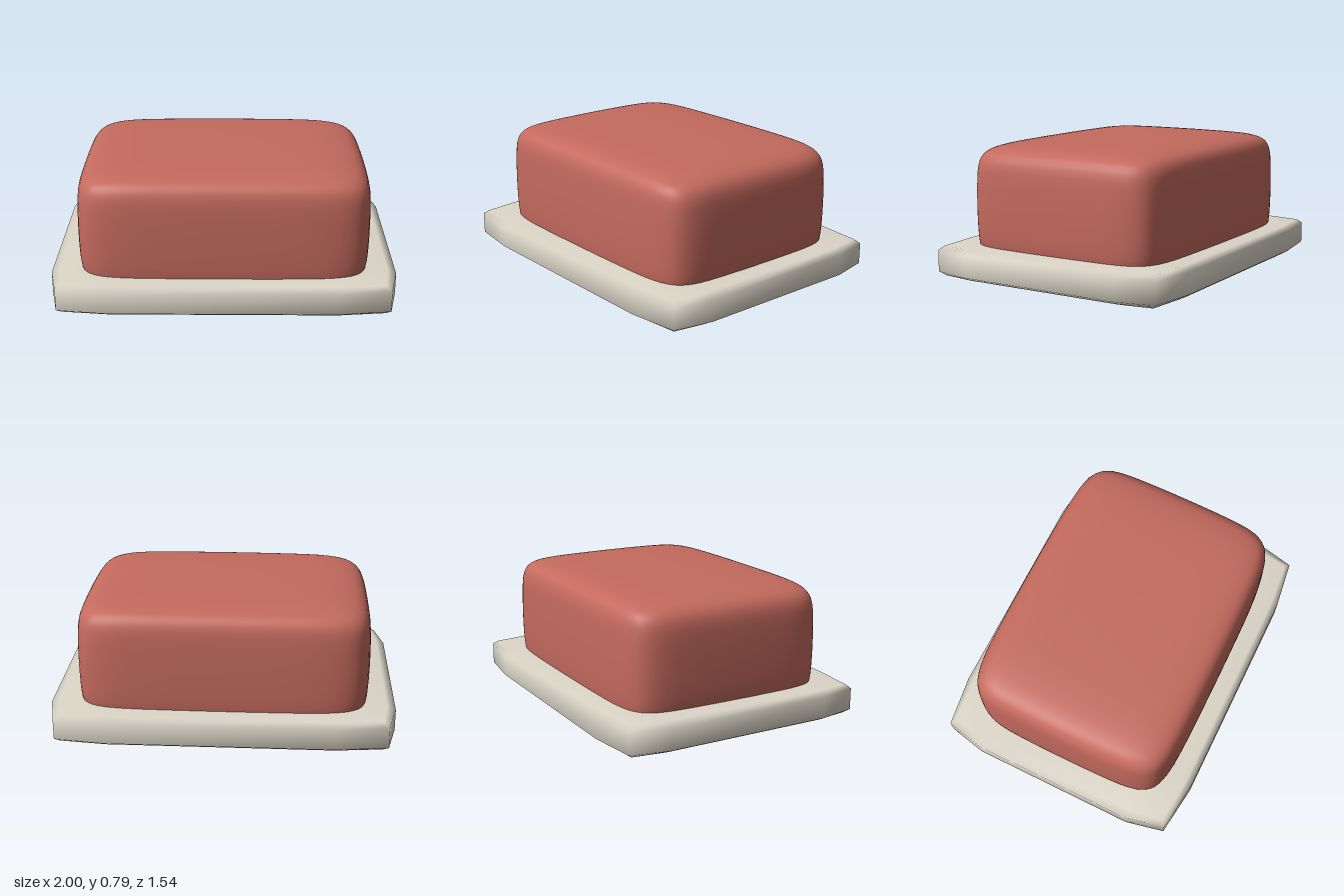
import * as THREE from 'three';
import { mergeVertices } from 'three/addons/utils/BufferGeometryUtils.js';

// Weld the corners and shade smoothly
function smooth(geometry) {
  geometry.deleteAttribute('uv');
  geometry.deleteAttribute('normal');
  const welded = mergeVertices(geometry, 1e-4);
  welded.computeVertexNormals();
  return welded;
}

// Soft box: a cube pushed onto a rounded superellipsoid with slightly bulging faces
function softBox(halfX, halfY, halfZ) {
  const power = 8, bulge = 0.024;
  const geometry = new THREE.BoxGeometry(2, 2, 2, 24, 24, 24);
  const pos = geometry.attributes.position;
  for (let i = 0; i < pos.count; i++) {
    const p = [pos.getX(i), pos.getY(i), pos.getZ(i)].map(t => Math.sin(t * Math.PI / 2));
    const r = Math.pow(p.reduce((sum, t) => sum + Math.abs(t) ** power, 0), 1 / power);
    const [x, y, z] = p.map(t => t / r);
    pos.setXYZ(i,
      halfX * x * (1 - bulge * (y * y + z * z) / 1.3),
      halfY * y * (1 - bulge * (x * x + z * z) / 1.3),
      halfZ * z * (1 - bulge * (x * x + y * y) / 1.3));
  }
  return smooth(geometry);
}

// Slab: twelve-point rings stacked from the bottom centre to the top centre.
// Each ring: [side x, side z, corner x, corner z, straight x, straight z, y]
function slab() {
  const rings = [
    [0, 0, 0, 0, 0, 0, 0.003],
    [0.65, 0.5, 0.65, 0.5, 0.65, 0.5, 0.01],
    [0.95, 0.73, 0.92, 0.7, 0.65, 0.5, 0.02],
    [1, 0.77, 0.95, 0.73, 0.65, 0.5, 0.045],
    [1, 0.77, 0.95, 0.73, 0.65, 0.5, 0.172],
    [0.95, 0.73, 0.92, 0.705, 0.65, 0.5, 0.195],
    [0.65, 0.5, 0.65, 0.5, 0.65, 0.5, 0.199],
    [0, 0, 0, 0, 0, 0, 0.2],
  ];
  const points = [], index = [], n = 12;
  for (const [sx, sz, cx, cz, fx, fz, y] of rings) {
    const quarter = [[sx, fz], [cx, cz], [fx, sz]];
    const half = [...quarter, ...quarter.map(([x, z]) => [-x, z]).reverse()];
    for (const [x, z] of [...half, ...half.map(([x, z]) => [-x, -z])]) points.push(x, y, z);
  }
  for (let i = 0; i < rings.length - 1; i++) {
    for (let j = 0; j < n; j++) {
      const a = i * n + j, b = i * n + (j + 1) % n, c = a + n, d = b + n;
      index.push(a, c, b, b, c, d);
    }
  }
  const geometry = new THREE.BufferGeometry();
  geometry.setAttribute('position', new THREE.Float32BufferAttribute(points, 3));
  geometry.setIndex(index);
  return smooth(geometry);
}

export function createModel() {
  const red = new THREE.MeshStandardMaterial({ name: 'brick red', color: 0xc46a5e });
  const cream = new THREE.MeshStandardMaterial({ name: 'warm cream', color: 0xdcd6c8 });
  const model = new THREE.Group();
  model.name = 'blockOnSlab';

  const base = new THREE.Mesh(slab(), cream);
  base.name = 'baseSlab';

  // Upper block, its lower end sunk into the slab
  const block = new THREE.Mesh(softBox(0.855, 0.36, 0.64), red);
  block.name = 'upperBlock';
  block.position.y = 0.43;

  model.add(base, block);
  return model;
}
